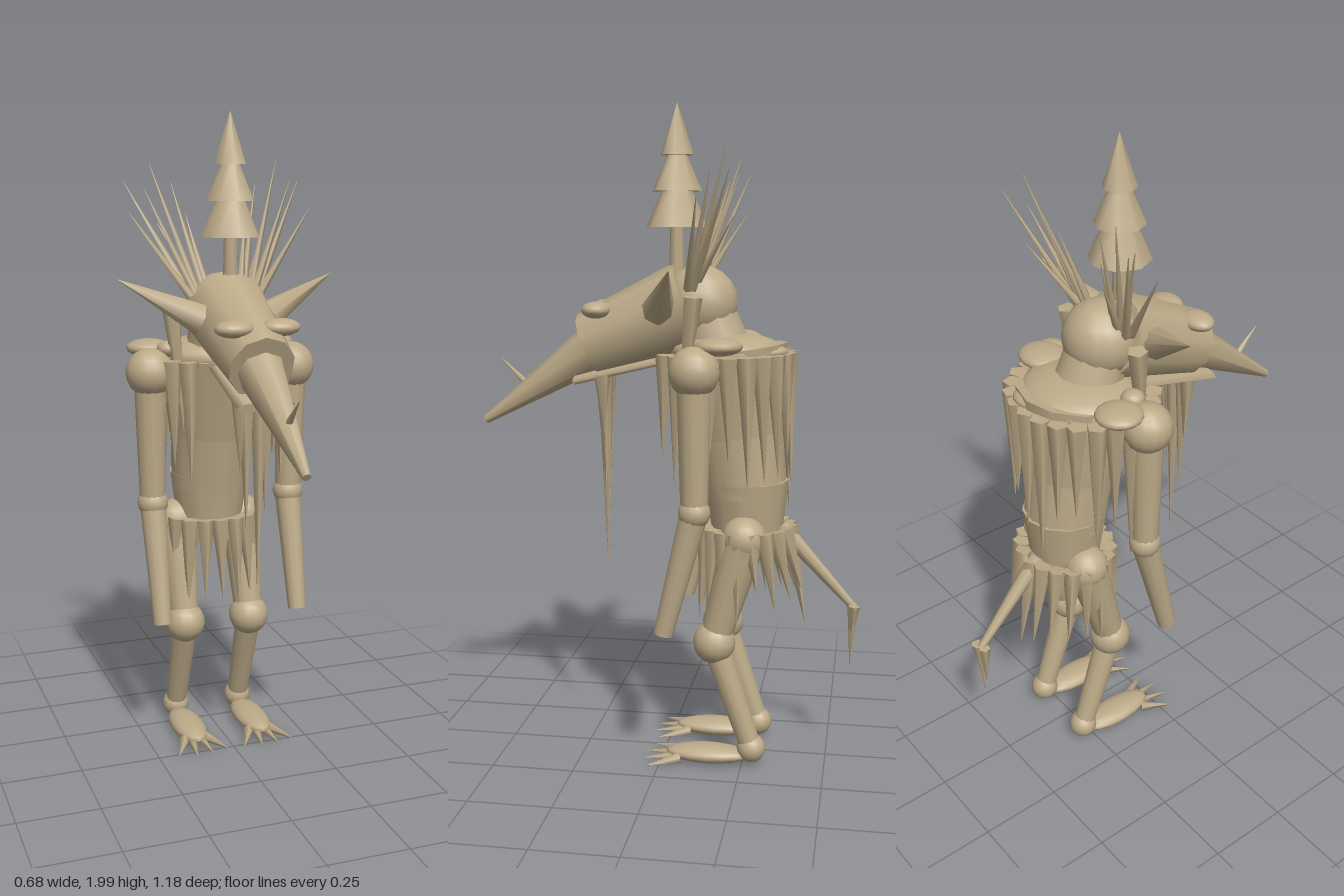
import * as THREE from 'three';

const V = (x, y, z) => new THREE.Vector3(x, y, z);

export function createModel() {
  const model = new THREE.Group();
  model.name = 'beakedCreature';
  const clay = new THREE.MeshStandardMaterial({ color: 0xbcaa88 });
  clay.name = 'tan clay';

  let seed = 7;
  const rand = (a, b) => {
    seed = (seed * 16807) % 2147483647;
    return a + (b - a) * (seed / 2147483647);
  };
  const add = (name, geometry) => {
    const mesh = new THREE.Mesh(geometry, clay);
    mesh.name = name;
    model.add(mesh);
    return mesh;
  };
  // Tapered cylinder between two points; flat squashes its local depth
  const limb = (name, a, b, ra, rb, sides = 12, flat = 1) => {
    const d = b.clone().sub(a);
    const mesh = add(name, new THREE.CylinderGeometry(rb, ra, d.length(), sides));
    mesh.position.copy(a).add(b).multiplyScalar(0.5);
    mesh.quaternion.setFromUnitVectors(V(0, 1, 0), d.normalize());
    mesh.scale.z = flat;
    return mesh;
  };
  const ball = (name, p, rx, ry = rx, rz = rx) => {
    const mesh = add(name, new THREE.SphereGeometry(1, 16, 10));
    mesh.position.copy(p);
    mesh.scale.set(rx, ry, rz);
    return mesh;
  };
  const spike = (name, a, b, r, sides = 5) => limb(name, a, b, r, 0.001, sides);

  // Torso in three overlapping sections
  limb('pelvis', V(0, 0.66, -0.25), V(0, 0.88, -0.245), 0.1, 0.13);
  limb('abdomen', V(0, 0.84, -0.245), V(0, 1.05, -0.215), 0.125, 0.135);
  limb('chest', V(0, 1.02, -0.215), V(0, 1.28, -0.185), 0.14, 0.18);
  ball('upperBack', V(0, 1.27, -0.185), 0.18, 0.06, 0.17);
  limb('neck', V(0, 1.22, -0.17), V(0, 1.42, -0.1), 0.11, 0.09);

  // Head, muzzle, jaw and beak
  ball('skull', V(0, 1.415, -0.1), 0.115);
  limb('muzzle', V(0, 1.415, -0.07), V(0, 1.285, 0.24), 0.13, 0.1, 10);
  limb('lowerJaw', V(0, 1.25, -0.03), V(0, 1.18, 0.275), 0.07, 0.09, 8, 0.18);
  limb('beak', V(0, 1.275, 0.23), V(0, 1.045, 0.575), 0.072, 0.013, 8);
  spike('beakHorn', V(0, 1.16, 0.44), V(0, 1.24, 0.52), 0.012);
  for (const s of [-1, 1]) {
    ball('browLid', V(s * 0.07, 1.395, 0.203), 0.06, 0.026, 0.045);
    spike('ear', V(s * 0.1, 1.4, 0.01), V(s * 0.34, 1.52, -0.06), 0.05, 7);
    spike('sideLock', V(s * 0.165, 1.44, -0.1), V(s * 0.14, 1.05, -0.06), 0.03);
  }

  // Hair fan: [tip x, tip y, tip z]
  const fan = [[0.1, 1.72, -0.17], [0.14, 1.78, -0.2], [0.21, 1.86, -0.2],
    [0.24, 1.79, -0.16], [0.29, 1.79, -0.22], [0.3, 1.71, -0.13], [0.18, 1.68, -0.22]];
  for (const s of [-1, 1]) {
    for (const [x, y, z] of fan) {
      const tip = V(s * x * (s < 0 ? 0.95 : 1), y + rand(-0.02, 0.02), z);
      spike('hairSpike', V(s * (0.02 + x * 0.3), 1.46, -0.06 + z * 0.15), tip, 0.014);
    }
  }

  // Tiered hat on a short post
  const hatZ = -0.03;
  limb('hatPost', V(0, 1.45, hatZ), V(0, 1.66, hatZ), 0.025, 0.02, 8);
  [[1.64, 1.76, 0.092, 0.04], [1.745, 1.86, 0.075, 0.025], [1.85, 2, 0.05, 0.001]]
    .forEach(([y0, y1, r0, r1]) => limb('hatTier', V(0, y0, hatZ), V(0, y1, hatZ), r0, r1, 8));

  // Beard hanging from the jaw
  [[-0.05, 0.97], [-0.03, 0.8], [0.01, 0.61], [0.035, 0.85], [0.06, 1.02]]
    .forEach(([x, y]) => spike('beardStrand', V(x, 1.2, 0.19), V(x * 0.9, y, 0.185), 0.026));

  // Flat pads on the shoulders and back
  ball('shoulderPad', V(-0.21, 1.295, -0.2), 0.07, 0.027, 0.07);
  ball('shoulderPad', V(0.18, 1.3, -0.18), 0.08, 0.027, 0.07);
  ball('backPad', V(0.04, 1.275, -0.3), 0.07, 0.025, 0.07);
  ball('smallPad', V(-0.17, 1.3, -0.12), 0.035, 0.025, 0.035);

  // Ragged cloak: strands hang around the shoulders, open at the front
  const cloakCount = 19;
  for (let i = 0; i < cloakCount; i++) {
    const t = (i / (cloakCount - 1) - 0.5) * 4.9;
    const x = Math.sin(t), z = -Math.cos(t);
    const front = z > 0.15;
    const top = V(x * 0.215, 1.27, -0.17 + z * 0.195);
    const tip = V(x * 0.21, front ? rand(0.83, 1) : rand(0.76, 0.98), -0.17 + z * 0.21);
    spike('cloakStrand', top, tip, 0.032);
  }

  // Ragged skirt around the hips
  const skirtCount = 18;
  for (let i = 0; i < skirtCount; i++) {
    const t = (i / skirtCount) * Math.PI * 2;
    const x = Math.sin(t), z = Math.cos(t);
    const top = V(x * 0.145, 0.74, -0.25 + z * 0.125);
    spike('skirtStrand', top, V(x * 0.165, rand(0.43, 0.58), -0.265 + z * 0.165), 0.03);
  }

  for (const s of [-1, 1]) {
    // Arms
    const ax = s * 0.23;
    const elbow = V(s * 0.226, 0.82, -0.117);
    ball('shoulder', V(ax, 1.23, -0.115), 0.075);
    limb('upperArm', V(ax, 1.21, -0.115), elbow, 0.05, 0.04);
    ball('elbow', elbow, 0.048);
    limb('forearm', elbow, V(s * 0.226, 0.45, -0.025), 0.042, 0.029);

    // Legs
    const x = s * 0.11;
    const hip = V(x, 0.72, -0.25), knee = V(x, 0.395, -0.163), ankle = V(x, 0.065, -0.278);
    ball('hip', hip, 0.068);
    limb('thigh', hip, knee, 0.066, 0.045);
    ball('knee', knee, 0.065);
    limb('shin', knee, ankle, 0.042, 0.033);
    ball('ankle', ankle, 0.044);

    // Feet with splayed claws
    ball('foot', V(x, 0.04, -0.145), 0.053, 0.028, 0.13);
    [-1.5, -0.5, 0.5, 1.5].forEach((k) => spike('toeClaw', V(x + k * 0.024, 0.032, -0.06),
      V(x + k * 0.056, 0.022, 0.06 - Math.abs(k) * 0.02), 0.017));
  }

  // Tail with a pointed tuft
  limb('tail', V(0, 0.74, -0.35), V(0, 0.495, -0.575), 0.028, 0.012, 8);
  [[-0.015, 0.36], [0.008, 0.31], [0.018, 0.4]].forEach(([x, y], i) =>
    spike('tailTuft', V(x, 0.5, -0.572 - i * 0.004), V(x * 0.6, y, -0.57), 0.018));

  return model;
}
